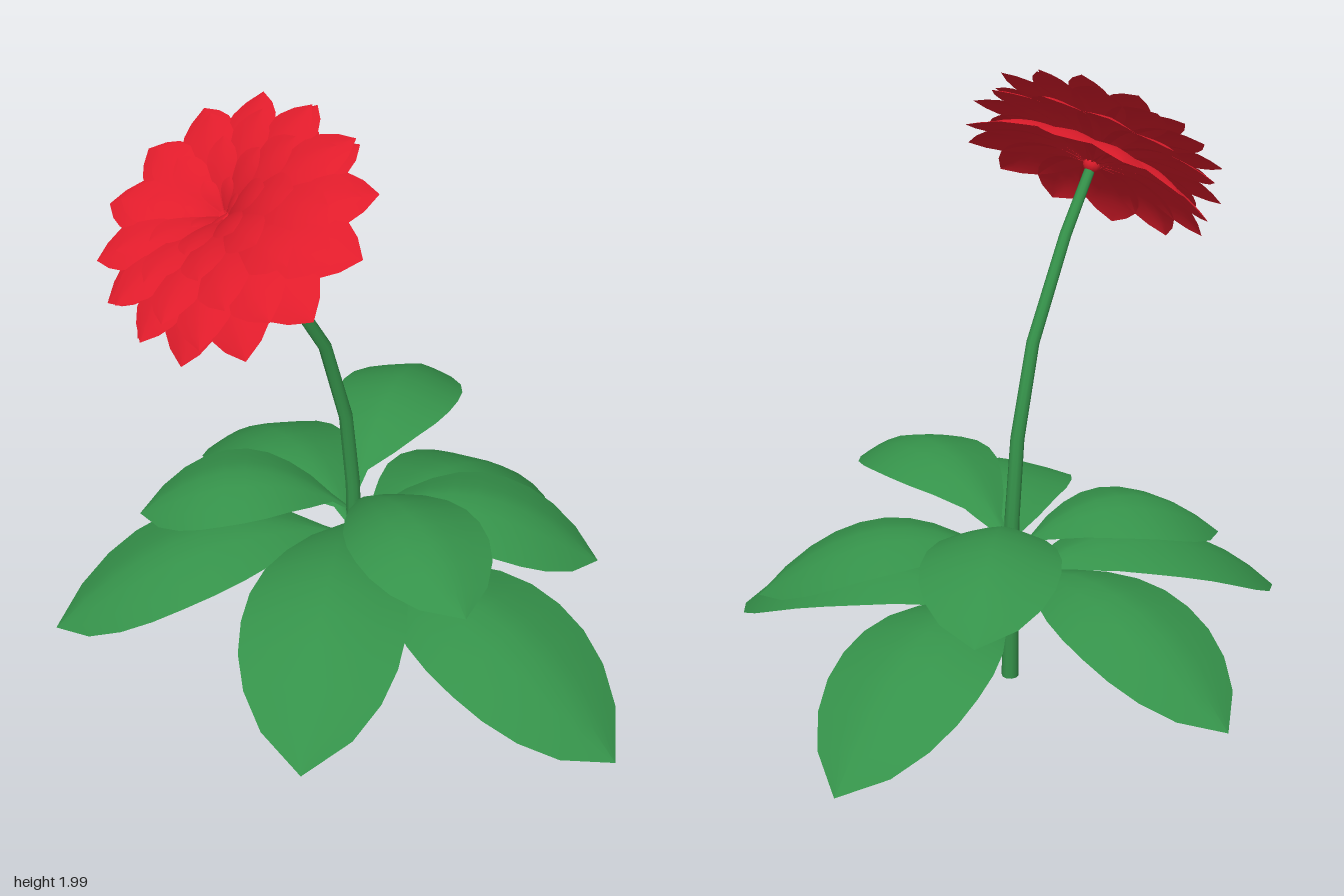
import * as THREE from 'three';

const V = (x, y, z) => new THREE.Vector3(x, y, z);
const UP = V(0, 1, 0);

// Half-width outlines from base to tip, evenly spaced
const LEAF = [0.025, 0.1, 0.42, 0.66, 0.86, 0.97, 1, 0.96, 0.82, 0.54, 0];
const PETAL = [0.2, 0.36, 0.54, 0.7, 0.84, 0.95, 1, 0.97, 0.84, 0.53, 0];

// Arched blade from base to tip; cup drops the side edges
function blade(base, tip, halfWidth, bump, cup, outline) {
  const rows = outline.length - 1;
  const geo = new THREE.PlaneGeometry(1, 1, 6, rows);
  const pos = geo.attributes.position;
  const side = tip.clone().sub(base).cross(UP).normalize();
  for (let i = 0; i < pos.count; i++) {
    const s = pos.getX(i) * 2;
    const t = THREE.MathUtils.clamp(pos.getY(i) + 0.5, 0, 1);
    const w = outline[Math.round(t * rows)] * halfWidth;
    const p = base.clone().lerp(tip, t).addScaledVector(side, s * w);
    p.y += bump * 4 * t * (1 - t) - cup * Math.abs(s) ** 1.35 * w;
    pos.setXYZ(i, p.x, p.y, p.z);
  }
  geo.computeVertexNormals();
  return geo;
}

export function createModel() {
  const model = new THREE.Group();
  const green = new THREE.MeshStandardMaterial({ color: 0x35924a, side: THREE.DoubleSide });
  green.name = 'leafGreen';
  const red = new THREE.MeshStandardMaterial({ color: 0xe01c2b, side: THREE.DoubleSide });
  red.name = 'petalRed';

  const add = (parent, name, geo, mat) => {
    const mesh = new THREE.Mesh(geo, mat);
    mesh.name = name;
    parent.add(mesh);
    return mesh;
  };

  // Stem: tapered cylinder bent along a curve
  const path = new THREE.CatmullRomCurve3([
    V(-0.115, 0.02, 0.025), V(-0.115, 0.3, 0.025), V(-0.115, 0.58, 0.03), V(-0.12, 0.86, 0.055),
    V(-0.133, 1.16, 0.135), V(-0.162, 1.47, 0.305), V(-0.193, 1.67, 0.428),
  ]);
  const stem = new THREE.CylinderGeometry(0.017, 0.028, 1, 10, 6);
  const sp = stem.attributes.position;
  for (let i = 0; i < sp.count; i++) {
    const t = THREE.MathUtils.clamp(sp.getY(i) + 0.5, 0, 1);
    const turn = new THREE.Quaternion().setFromUnitVectors(UP, path.getTangent(t));
    const p = V(sp.getX(i), 0, sp.getZ(i)).applyQuaternion(turn).add(path.getPoint(t));
    sp.setXYZ(i, p.x, p.y, p.z);
  }
  stem.computeVertexNormals();
  add(model, 'stem', stem, green);

  // Leaves: base height, tip x y z, half width, arch
  const leaves = new THREE.Group();
  leaves.name = 'leaves';
  model.add(leaves);
  [
    [0.28, 0, 0.065, -0.91, 0.25, 0.22],
    [0.52, -0.36, 0.55, -0.72, 0.21, 0.175],
    [0.38, -0.975, 0.21, -0.285, 0.24, 0.195],
    [0.35, -0.76, 0.145, 0.81, 0.25, 0.21],
    [0.46, -0.66, 0.47, 0.48, 0.21, 0.17],
    [0.42, 0.385, 0.26, 0.905, 0.255, 0.23],
    [0.5, 0.575, 0.585, 0.355, 0.215, 0.175],
    [0.43, 0.595, 0.34, -0.38, 0.22, 0.18],
    [0.2, 0.97, 0.005, 0.075, 0.285, 0.235],
  ].forEach(([y, tx, ty, tz, w, bump], i) => {
    add(leaves, `leaf${i + 1}`, blade(V(-0.115, y, 0.025), V(tx, ty, tz), w, bump, 0.28, LEAF), green);
  });

  // Flower head, tilted forward
  const head = new THREE.Group();
  head.name = 'flowerHead';
  head.position.set(-0.19, 1.65, 0.415);
  head.quaternion.setFromUnitVectors(UP, V(-0.16, 0.83, 0.55).normalize());
  model.add(head);
  const core = add(head, 'flowerBase', new THREE.SphereGeometry(0.03, 12, 8), red);
  core.position.y = 0.03;

  // Petal rings: count, tip radius, tip height, base height, half width, arch, edge drop
  [
    [12, 0.42, -0.03, 0.03, 0.108, 0.055, 0.18],
    [12, 0.425, 0.07, 0.05, 0.1, 0.05, 0.18],
    [12, 0.39, 0.155, 0.07, 0.09, 0.04, 0.15],
    [10, 0.3, 0.205, 0.09, 0.075, 0.03, 0.12],
    [8, 0.2, 0.205, 0.1, 0.052, 0.02, 0.1],
    [6, 0.09, 0.17, 0.11, 0.026, 0.01, 0.1],
  ].forEach(([n, r, tipY, baseY, w, bump, cup], ring) => {
    const geo = blade(V(0, baseY, 0.012), V(0, tipY, r), w, bump, cup, PETAL);
    for (let i = 0; i < n; i++) {
      const petal = add(head, `petalRing${ring + 1}`, geo, red);
      petal.rotation.y = ((i + (ring % 2) / 2) / n) * Math.PI * 2 + ring * 0.06 + 0.07;
    }
  });

  return model;
}
